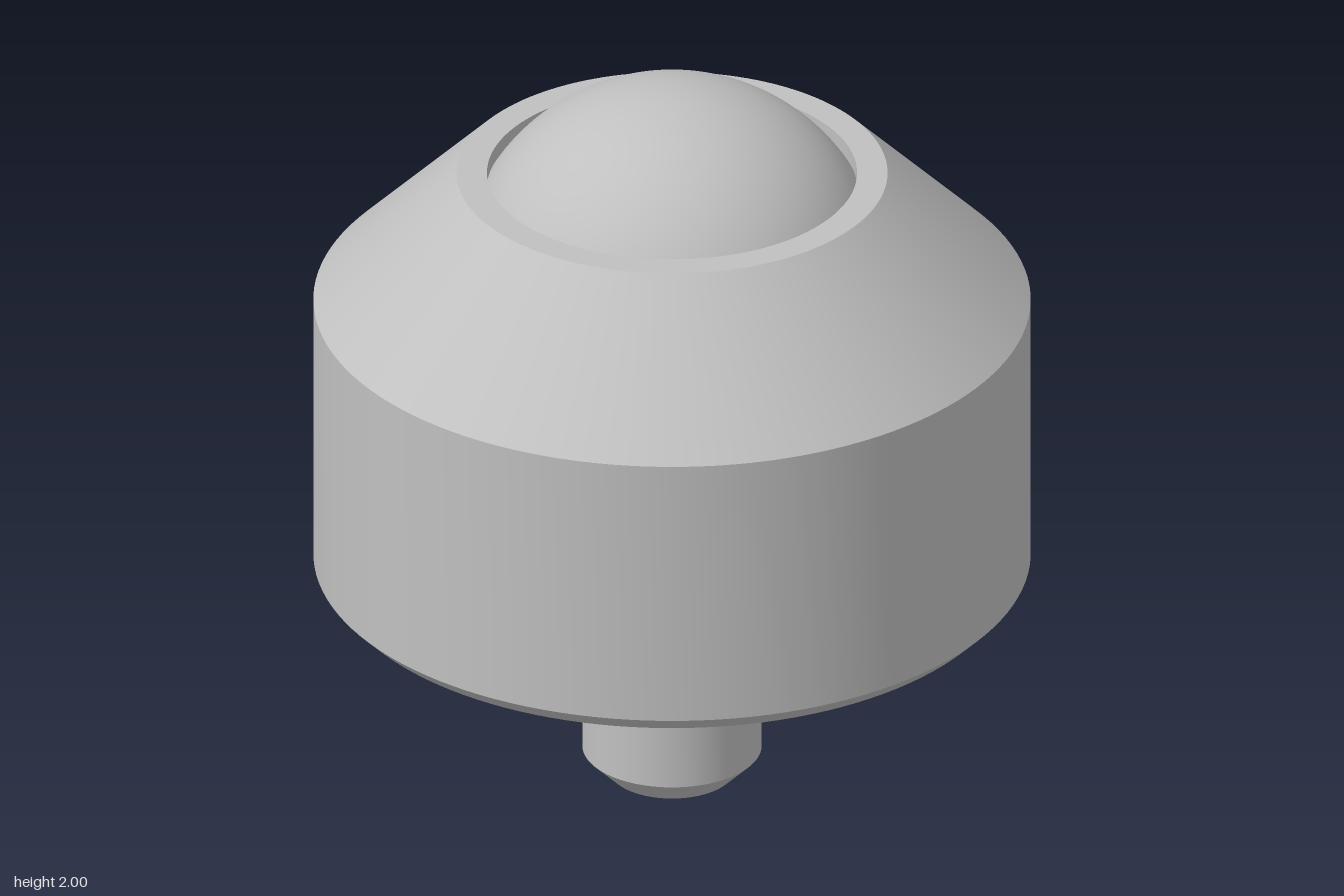
import * as THREE from 'three';
import { toCreasedNormals } from 'three/addons/utils/BufferGeometryUtils.js';

// Turned part from [radius, height] points, listed bottom to top on the outside
function turned(name, profile, material) {
  const points = profile.map(([r, y]) => new THREE.Vector2(r, y));
  const geometry = toCreasedNormals(new THREE.LatheGeometry(points, 128), 0.5);
  const mesh = new THREE.Mesh(geometry, material);
  mesh.name = name;
  return mesh;
}

export function createModel() {
  const model = new THREE.Group();
  model.name = 'ballTransferUnit';

  const steel = new THREE.MeshStandardMaterial({ color: 0xc0c0c0 });
  steel.name = 'steel grey';

  // Mounting stem with a chamfered tip
  model.add(turned('stem', [[0, 0], [0.165, 0], [0.235, 0.07], [0.235, 0.6]], steel));

  // Housing: chamfered base, straight wall, conical shoulder, flat lip and ball socket
  model.add(turned('housing', [
    [0, 0.595], [0.895, 0.595], [0.94, 0.64], [0.94, 1.393],
    [0.565, 1.768], [0.485, 1.768], [0.485, 1.69],
  ], steel));

  // Ball held captive in the socket
  const ballRadius = 0.565;
  const ball = new THREE.Mesh(new THREE.SphereGeometry(ballRadius, 96, 64), steel);
  ball.name = 'ball';
  ball.position.y = 2 - ballRadius;
  model.add(ball);

  return model;
}
